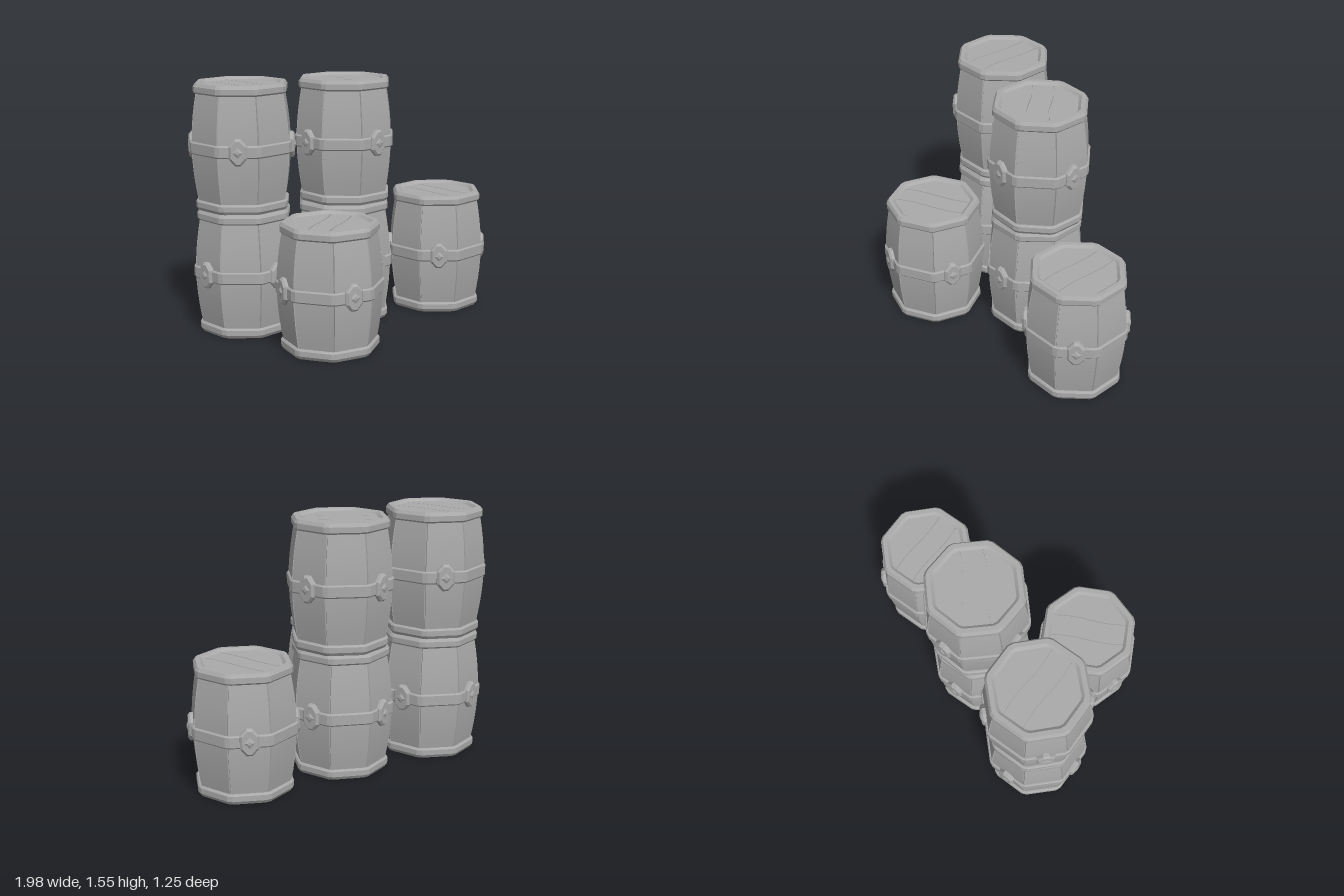
import * as THREE from 'three';
import { toCreasedNormals } from 'three/addons/utils/BufferGeometryUtils.js';

const SIDES = 8;
const STEP = (Math.PI * 2) / SIDES;
const APOTHEM = Math.cos(STEP / 2);
const HALF_SIDE = Math.sin(STEP / 2);

// Unit octagon outline with cut corners; groove > 0 adds a notch at each corner
function octagon(cut, groove = 0) {
  const pts = [];
  for (let k = 0; k < SIDES; k++) {
    const a = k * STEP;
    for (const t of [-(HALF_SIDE - cut), HALF_SIDE - cut]) {
      pts.push([
        APOTHEM * Math.sin(a) + t * Math.cos(a),
        APOTHEM * Math.cos(a) - t * Math.sin(a),
      ]);
    }
    if (groove) {
      const r = 1 - groove;
      pts.push([r * Math.sin(a + STEP / 2), r * Math.cos(a + STEP / 2)]);
    }
  }
  return pts;
}

// Sweeps an outline along [radius, y] rings
function loft(rings, outline, crease = 0.3) {
  const n = outline.length;
  const pos = [];
  const index = [];
  for (const [r, y] of rings) for (const [x, z] of outline) pos.push(x * r, y, z * r);
  for (let j = 0; j < rings.length - 1; j++) {
    for (let i = 0; i < n; i++) {
      const a = j * n + i;
      const b = j * n + ((i + 1) % n);
      index.push(a, b, b + n, a, b + n, a + n);
    }
  }
  const g = new THREE.BufferGeometry();
  g.setAttribute('position', new THREE.Float32BufferAttribute(pos, 3));
  g.setIndex(index);
  return toCreasedNormals(g, crease);
}

// Wavy edge of a lid plank, running from bottom to top
function wavyEdge(u, a) {
  const pts = [];
  for (let i = 0; i <= 8; i++) {
    const v = -1 + i / 4;
    pts.push(new THREE.Vector2(u + 0.008 * Math.sin(v * 3.2), v * a));
  }
  return pts;
}

// Three plank shapes filling an octagon of the given radius
function lidShapes(radius) {
  const a = radius * APOTHEM;
  const s = radius * HALF_SIDE;
  const gap = 0.003;
  const u = 0.065;
  const V = (x, y) => new THREE.Vector2(x, y);
  return [
    [V(s, -a), V(a, -s), V(a, s), V(s, a), ...wavyEdge(u + gap, a).reverse()],
    [...wavyEdge(u - gap, a), ...wavyEdge(-u + gap, a).reverse()],
    [...wavyEdge(-u - gap, a), V(-s, a), V(-a, s), V(-a, -s), V(-s, -a)],
  ].map((pts) => new THREE.Shape(pts));
}

export function createModel() {
  const grey = new THREE.MeshStandardMaterial({ color: 0xaaaaaa });
  grey.name = 'plain grey';

  const part = (geometry, name) => {
    const m = new THREE.Mesh(geometry, grey);
    m.name = name;
    return m;
  };

  // Bulging body of eight staves
  const bodyRings = [];
  for (let i = 0; i <= 10; i++) {
    const t = -1 + i / 5;
    bodyRings.push([0.319 - 0.037 * Math.pow(Math.abs(t), 1.8), t * 0.34]);
  }
  const bodyGeo = loft(bodyRings, octagon(0.014, 0.03));

  // Middle hoop
  const bandGeo = loft(
    [[0.31, -0.038], [0.324, -0.038], [0.331, -0.03], [0.331, 0.03], [0.324, 0.038], [0.31, 0.038]],
    octagon(0.05),
  );

  // End rim, from the underside around to the inner lip
  const rimGeo = loft(
    [
      [0.27, 0.325], [0.293, 0.325], [0.302, 0.335], [0.302, 0.367],
      [0.288, 0.3875], [0.26, 0.3875], [0.242, 0.372], [0.242, 0.352],
    ],
    octagon(0.06),
  );

  // Lid planks over a backing plate
  const planksGeo = new THREE.ExtrudeGeometry(lidShapes(0.25), { depth: 0.012, bevelEnabled: false });
  planksGeo.rotateX(-Math.PI / 2).rotateY(Math.PI / 4).translate(0, 0.36, 0);
  const backingGeo = new THREE.CircleGeometry(0.26, SIDES, STEP / 2);
  backingGeo.rotateX(-Math.PI / 2).translate(0, 0.355, 0);

  // Hoop stud: bevelled tall hexagon carrying a small diamond
  const bevel = 0.012;
  const studShape = new THREE.Shape(
    [[0.012, 0.068], [-0.012, 0.068], [-0.042, 0.034], [-0.042, -0.034],
      [-0.012, -0.068], [0.012, -0.068], [0.042, -0.034], [0.042, 0.034]]
      .map(([x, y]) => new THREE.Vector2(x, y)),
  );
  const studGeo = new THREE.ExtrudeGeometry(studShape, {
    depth: 0.03, bevelEnabled: true, bevelSize: bevel, bevelThickness: bevel, bevelSegments: 1,
  });
  studGeo.translate(0, 0, 0.281);
  const diamondGeo = new THREE.CylinderGeometry(0.014, 0.032, 0.007, 4).toNonIndexed();
  diamondGeo.computeVertexNormals();
  diamondGeo.rotateX(Math.PI / 2).translate(0, 0, 0.3265);

  function makeBarrel() {
    const barrel = new THREE.Group();
    barrel.add(part(bodyGeo, 'staves'), part(bandGeo, 'middleHoop'));
    for (const flip of [0, Math.PI]) {
      const end = new THREE.Group();
      end.name = flip ? 'bottomEnd' : 'topEnd';
      end.add(part(rimGeo, 'rim'), part(planksGeo, 'lidPlanks'), part(backingGeo, 'lidBacking'));
      end.rotation.x = flip;
      barrel.add(end);
    }
    for (let k = 0; k < 4; k++) {
      const stud = new THREE.Group();
      stud.name = 'hoopStud';
      stud.add(part(studGeo, 'studPlate'), part(diamondGeo, 'studDiamond'));
      stud.rotation.y = (k * Math.PI) / 2;
      barrel.add(stud);
    }
    return barrel;
  }

  // Stack layout: name, x, level, z, turn in degrees
  const model = new THREE.Group();
  model.name = 'barrelStack';
  const layout = [
    ['frontBarrel', -0.335, 0, 0.3, 94],
    ['lowerRightBarrel', -0.664, 0, -0.29, 21],
    ['lowerMiddleBarrel', 0, 0, -0.275, 23],
    ['lowerLeftBarrel', 0.668, 0, -0.272, -23],
    ['upperRightBarrel', -0.667, 1, -0.295, -23],
    ['upperMiddleBarrel', 0.01, 1, -0.28, 19],
  ];
  for (const [name, x, level, z, turn] of layout) {
    const barrel = makeBarrel();
    barrel.name = name;
    barrel.position.set(x, 0.3875 + level * 0.773, z);
    barrel.rotation.y = THREE.MathUtils.degToRad(turn);
    model.add(barrel);
  }
  return model;
}
